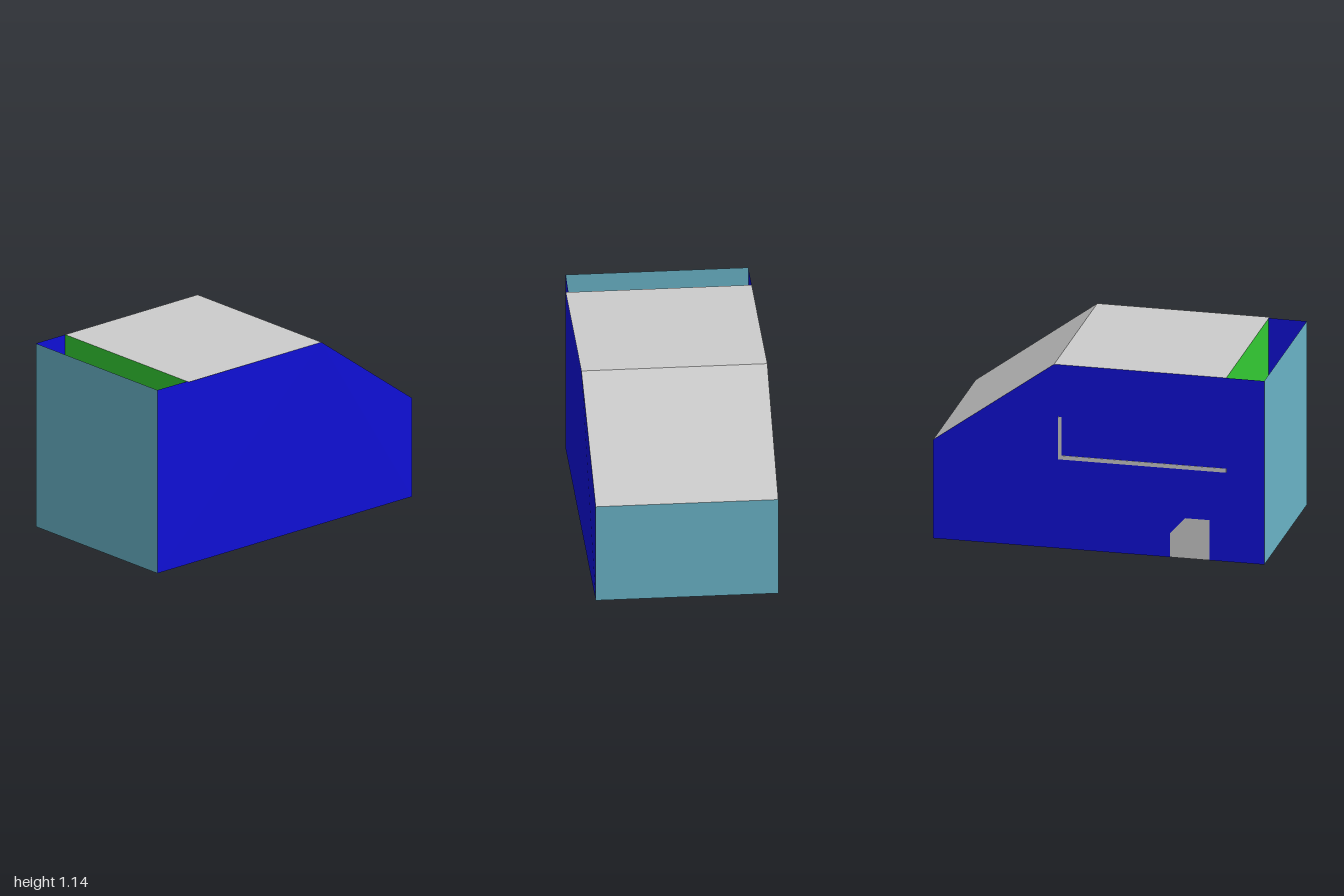
import * as THREE from 'three';

const L = -0.55, R = 0.527, PEAK = 0.547; // side planes and bulged ridge corner
const H = 1.145, BACK_H = 0.615, RIDGE_Z = -0.27, SCREEN_Z = 0.77;

const mat = (color) => new THREE.MeshStandardMaterial({ color, side: THREE.DoubleSide, flatShading: true });
const grey = mat(0xcccccc), blue = mat(0x1010d8), teal = mat(0x6ab4c8), green = mat(0x33cc33), brown = mat(0x8a5c36);

export function createModel() {
  const model = new THREE.Group();
  const add = (name, geometry, material) => {
    geometry.computeVertexNormals();
    const mesh = new THREE.Mesh(geometry, material);
    mesh.name = name;
    model.add(mesh);
  };

  // Thin sheet: a 2D outline placed in space by a mapping rule
  const panel = (name, material, outline, place) => {
    const g = new THREE.ShapeGeometry(new THREE.Shape(outline.map(([u, v]) => new THREE.Vector2(u, v))));
    const p = g.attributes.position;
    for (let i = 0; i < p.count; i++) p.setXYZ(i, ...place(p.getX(i), p.getY(i)));
    add(name, g, material);
  };
  const acrossZ = (z) => (x, y) => [x, y, z];
  const acrossX = (x) => (z, y) => [x, y, z];
  const rect = (a, b, c, d) => [[a, c], [b, c], [b, d], [a, d]];
  const box = (name, material, x0, x1, y0, y1, z0, z1) => {
    const g = new THREE.BoxGeometry(x1 - x0, y1 - y0, z1 - z0);
    g.translate((x0 + x1) / 2, (y0 + y1) / 2, (z0 + z1) / 2);
    add(name, g, material);
  };

  // Half-octagon passage profile as [z, y]
  const arch = [[0.43, 0], [0.43, 0.15], [0.52, 0.25], [0.67, 0.25], [0.76, 0.15], [0.76, 0]];
  const door = [...arch.slice(0, 4), [0.67, 0]];
  const passageEnd = 0.1;

  // Outer walls
  panel('frontWall', teal, rect(L, R, 0, H), acrossZ(1));
  panel('backWall', teal, rect(L, R, 0, BACK_H), acrossZ(-1));
  panel('rightWall', blue, [[-1, 0], ...door, [1, 0], [1, H], [RIDGE_Z, H], [-1, BACK_H]], acrossX(L));
  panel('rightDoor', grey, door, acrossX(L));

  // Left wall, fanned from the ridge corner that leans outward
  const fan = new THREE.BufferGeometry().setFromPoints(
    [[1, H], [1, 0], [-1, 0], [-1, BACK_H]].flatMap(([z, y], i, a) => i === 3 ? [] : [
      new THREE.Vector3(PEAK, H, RIDGE_Z),
      new THREE.Vector3(R, y, z),
      new THREE.Vector3(R, a[i + 1][1], a[i + 1][0]),
    ]));
  add('leftWall', fan, blue);

  // Floor with a cut-out under the passage
  panel('floor', green, [[L, -1], [R, -1], [R, 1], [L, 1], [L, 0.76], [passageEnd, 0.76], [passageEnd, 0.42], [L, 0.42]],
    (x, z) => [x, 0, z]);

  // Roof and sloping rear roof
  panel('roof', grey, rect(L, PEAK, RIDGE_Z, SCREEN_Z), (x, z) => [x, H, z]);
  panel('rearRoof', grey, [[L, -1], [R, -1], [PEAK, RIDGE_Z], [L, RIDGE_Z]],
    (x, z) => [x, THREE.MathUtils.mapLinear(z, -1, RIDGE_Z, BACK_H, H), z]);

  // Inner wall behind the open gap at the front
  panel('innerFrontWall', green, rect(L, R, 0, H), acrossZ(SCREEN_Z));

  // Upper room: its floor and rear wall just break through the right side
  box('upperFloor', grey, L - 0.003, R - 0.005, 0.555, 0.58, -0.245, SCREEN_Z);
  box('upperRearWallLower', grey, L - 0.003, R - 0.005, 0.58, 0.82, -0.245, -0.225);
  box('upperRearWall', grey, L + 0.003, R - 0.005, 0.82, H - 0.005, -0.245, -0.225);

  // Passage lining
  for (let i = 0; i < arch.length - 1; i++) {
    const [a, b] = [arch[i], arch[i + 1]];
    panel('passageLining', brown, rect(L + 0.004, passageEnd, 0, 1),
      (x, t) => [x, a[1] + (b[1] - a[1]) * t, a[0] + (b[0] - a[0]) * t]);
  }
  panel('passageEnd', brown, arch, acrossX(passageEnd));
  panel('passageJamb', brown, [[0.67, 0], [0.67, 0.25], [0.76, 0.15], [0.76, 0]], acrossX(L + 0.004));

  return model;
}
